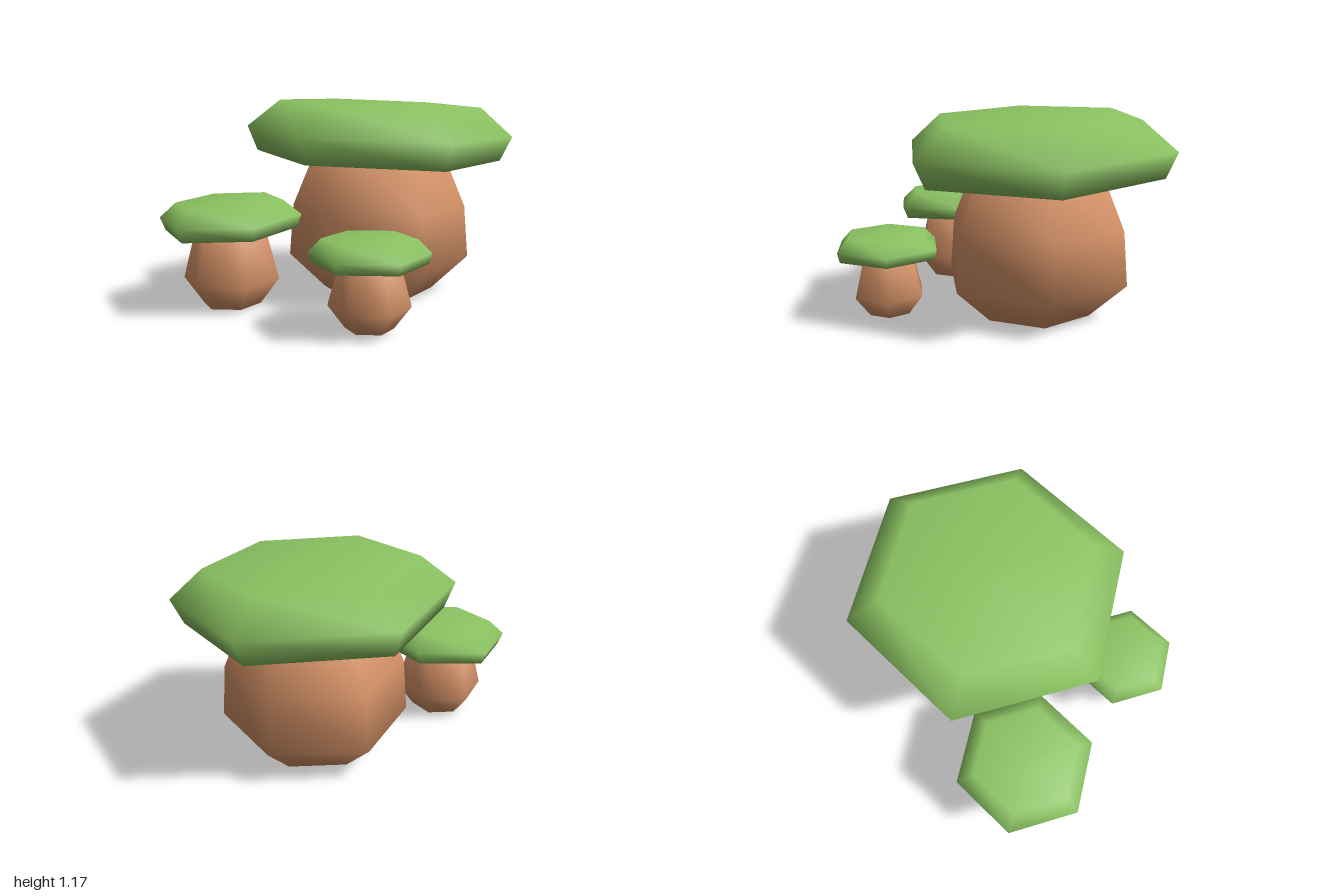
import * as THREE from 'three';

const capGreen = new THREE.MeshStandardMaterial({ color: 0x8cc462 });
capGreen.name = 'capGreen';
const stemBrown = new THREE.MeshStandardMaterial({ color: 0xd59267 });
stemBrown.name = 'stemBrown';

// Six-sided smooth solid from [radius, height] rings, bottom to top, closed at both ends
function hexSolid(name, rings, material) {
  const points = [[0, rings[0][1]], ...rings, [0, rings[rings.length - 1][1]]]
    .map(([r, y]) => new THREE.Vector2(r, y));
  const mesh = new THREE.Mesh(new THREE.LatheGeometry(points, 6), material);
  mesh.name = name;
  return mesh;
}

// Stem heights are from the ground; cap heights are from the cap's widest ring
function mushroom({ name, x, z, stem, cap, capY, tiltX = 0, tiltZ = 0 }) {
  const group = new THREE.Group();
  group.name = name;
  group.position.set(x, 0, z);
  const capMesh = hexSolid('cap', cap, capGreen);
  capMesh.position.y = capY;
  capMesh.rotation.set(tiltX, 0, tiltZ);
  group.add(hexSolid('stem', stem, stemBrown), capMesh);
  return group;
}

export function createModel() {
  const model = new THREE.Group();
  model.name = 'mushroomCluster';
  model.add(
    mushroom({
      name: 'largeMushroom', x: 0.083, z: -0.19,
      stem: [[0.335, 0], [0.555, 0.205], [0.53, 0.52], [0.385, 0.87]],
      cap: [[0.745, -0.147], [0.81, 0], [0.61, 0.168]],
      capY: 0.978, tiltZ: -0.046,
    }),
    mushroom({
      name: 'mediumMushroom', x: -0.433, z: 0.588,
      stem: [[0.167, 0.008], [0.277, 0.155], [0.2, 0.45]],
      cap: [[0.38, -0.075], [0.41, 0], [0.31, 0.085]],
      capY: 0.517, tiltX: 0.048, tiltZ: 0.012,
    }),
    mushroom({
      name: 'smallMushroom', x: 0.488, z: 0.563,
      stem: [[0.127, 0.018], [0.216, 0.135], [0.152, 0.375]],
      cap: [[0.3, -0.055], [0.315, 0], [0.245, 0.07]],
      capY: 0.415,
    }),
  );
  return model;
}
